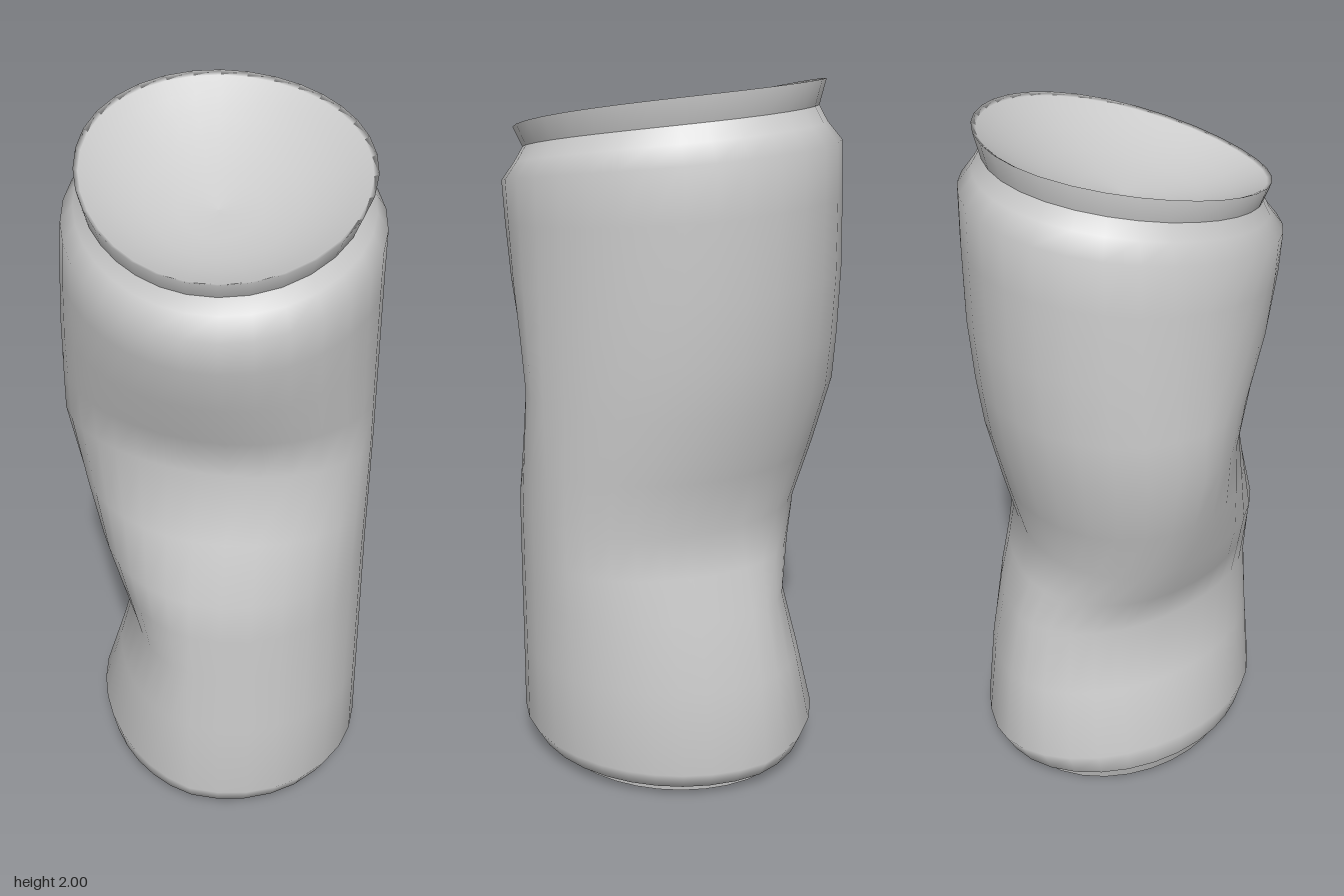
import * as THREE from 'three';

const SEGMENTS = 32;

// Each ring: [height, forward tilt, lift on the right side, right, left, front, back reach]
const foot = [0, 0, 0.05, 0.31, 0.35, 0.36, 0.36];
const footTop = [0.035, 0, 0.07, 0.325, 0.355, 0.365, 0.365];
const shoulder = [1.755, -0.21, 0, 0.415, 0.435, 0.445, 0.435];
const neck = [1.84, -0.24, 0, 0.36, 0.38, 0.385, 0.37];
const rimTop = [1.9, -0.26, 0, 0.373, 0.403, 0.408, 0.388];
const rimInner = [1.893, -0.26, 0, 0.36, 0.39, 0.395, 0.375];

// Crumpled wall: hollows on the right (low), back (middle) and front (high)
const wall = [
  footTop,
  [0.045, 0, 0.1, 0.345, 0.40, 0.405, 0.41],
  [0.10, 0, 0.18, 0.36, 0.43, 0.43, 0.44],
  [0.35, 0, 0.05, 0.30, 0.43, 0.42, 0.41],
  [0.55, 0, 0, 0.25, 0.43, 0.415, 0.37],
  [0.68, 0, 0, 0.30, 0.43, 0.41, 0.335],
  [0.80, 0, 0, 0.345, 0.43, 0.405, 0.31],
  [0.97, 0, 0, 0.395, 0.432, 0.35, 0.355],
  [1.16, 0, 0, 0.443, 0.434, 0.29, 0.40],
  [1.30, -0.02, 0, 0.44, 0.434, 0.335, 0.42],
  [1.46, -0.07, 0, 0.435, 0.434, 0.395, 0.435],
  [1.63, -0.16, 0, 0.425, 0.434, 0.43, 0.437],
  shoulder,
  [1.80, -0.225, 0, 0.38, 0.405, 0.405, 0.395],
  neck,
];

function ringPoint([y, tilt, lift, right, left, front, back], angle) {
  const c = Math.cos(angle), s = Math.sin(angle);
  const skew = 1 + 0.05 * Math.sin(2 * angle);
  const x = c * skew * (c < 0 ? right : left);
  const z = s * skew * (s < 0 ? back : front);
  // the tilted rings also bow upward a little along the middle
  const bow = -tilt * 0.08 * (1 - (z / 0.41) ** 2);
  return [x, y + tilt * z + Math.max(0, -x) * lift + bow, z];
}

// Skin a stack of rings with smooth normals
function loft(name, rings, material) {
  const positions = [], index = [];
  rings.forEach((ring, i) => {
    for (let j = 0; j < SEGMENTS; j++) {
      positions.push(...ringPoint(ring, (j / SEGMENTS) * Math.PI * 2));
      if (i === rings.length - 1) continue;
      const a = i * SEGMENTS + j, b = i * SEGMENTS + (j + 1) % SEGMENTS;
      index.push(a, a + SEGMENTS, b, b, a + SEGMENTS, b + SEGMENTS);
    }
  });
  const geometry = new THREE.BufferGeometry();
  geometry.setAttribute('position', new THREE.Float32BufferAttribute(positions, 3));
  geometry.setIndex(index);
  geometry.computeVertexNormals();
  const mesh = new THREE.Mesh(geometry, material);
  mesh.name = name;
  return mesh;
}

// Rings of a shallow dish closing a given edge ring
function dish(edge, depth) {
  return [1, 0.9, 0.75, 0.55, 0.3, 0.001].map((k) => [
    edge[0] + depth * (1 - k * k), edge[1], edge[2], ...edge.slice(3).map((r) => r * k),
  ]);
}

export function createModel() {
  const group = new THREE.Group();
  group.name = 'crushedCan';
  const metal = new THREE.MeshStandardMaterial({ color: 0xcccccc, side: THREE.DoubleSide });
  group.add(
    loft('baseDome', dish(foot, 0.1).reverse(), metal),
    loft('footRing', [foot, footTop], metal),
    loft('crumpledWall', wall, metal),
    loft('rim', [neck, rimTop, rimInner], metal),
    loft('lidDish', dish(rimInner, -0.13), metal),
  );
  return group;
}
